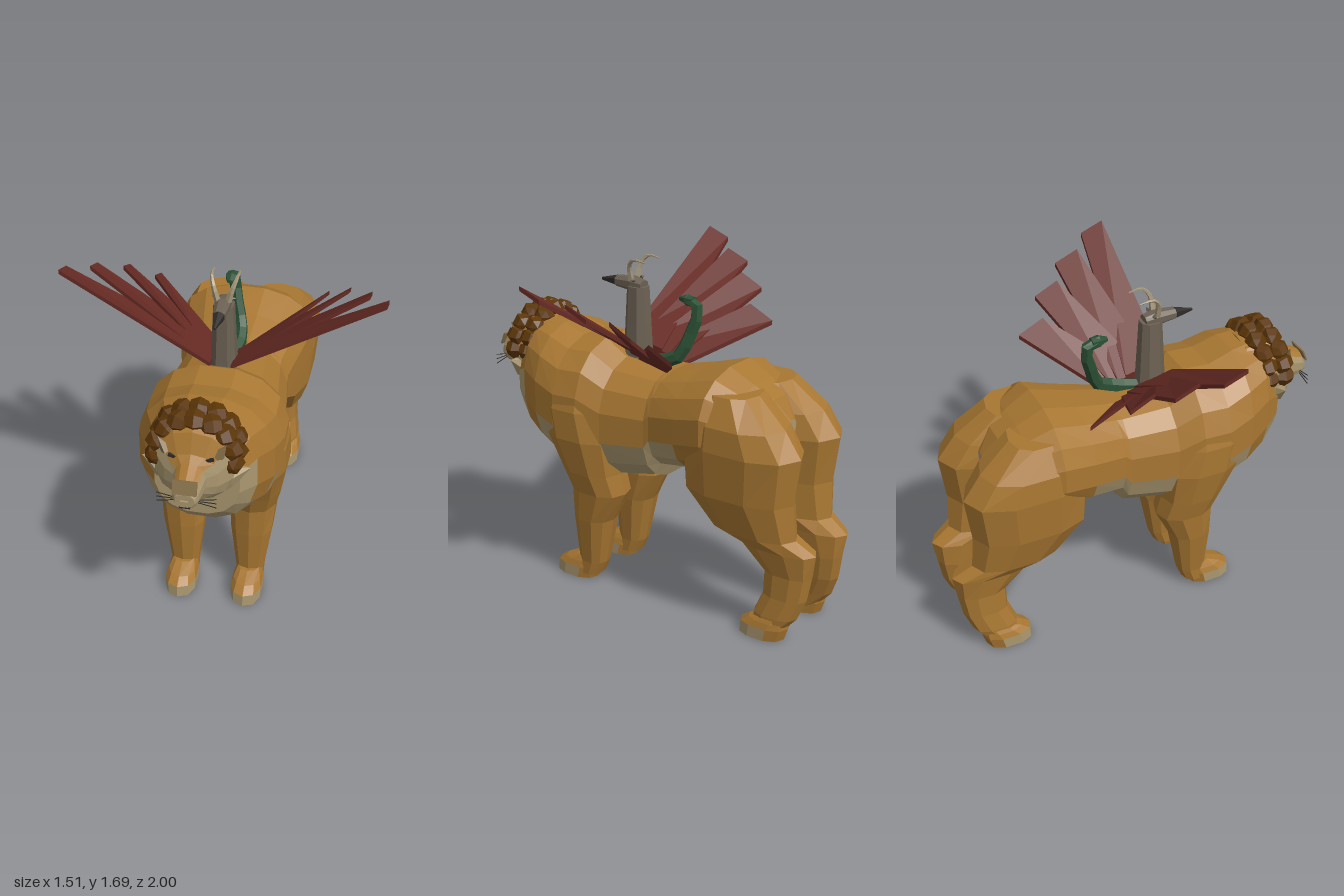
import * as THREE from 'three';

const mat = (name, color) => {
  const m = new THREE.MeshStandardMaterial({ color });
  m.name = name;
  return m;
};
const fur = mat('tan fur', 0xa87732);
const cream = mat('cream fur', 0xab9870);
const curlBrown = mat('dark brown curls', 0x5c3608);
const wingRed = mat('wing red', 0x672b24);
const goatGrey = mat('goat grey', 0x6c6153);
const hornBone = mat('horn bone', 0xa3957a);
const snakeGreen = mat('snake green', 0x2c5136);
const dark = mat('dark grey', 0x2e2a28);
const muzzleTan = mat('muzzle tan', 0x86704a);

const V = (x, y, z) => new THREE.Vector3(x, y, z);

// Faceted mesh from any geometry
function add(parent, name, geo, material, pos = [0, 0, 0]) {
  const g = geo.index ? geo.toNonIndexed() : geo;
  g.computeVertexNormals();
  const mesh = new THREE.Mesh(g, material);
  mesh.name = name;
  mesh.position.set(...pos);
  parent.add(mesh);
  return mesh;
}

// Skin over a row of rings with closed ends; pick(centre) gives each face's material index
function loft(parent, name, rings, materials, pick = () => 0) {
  const buckets = materials.map(() => []);
  const tri = (k, ...pts) => pts.forEach(p => buckets[k].push(p.x, p.y, p.z));
  const mid = pts => pts.reduce((s, p) => s.add(p), V(0, 0, 0)).divideScalar(pts.length);
  const n = rings[0].length;
  for (let i = 0; i + 1 < rings.length; i++) {
    for (let j = 0; j < n; j++) {
      const k = (j + 1) % n;
      const [a, b, c, d] = [rings[i][j], rings[i][k], rings[i + 1][k], rings[i + 1][j]];
      const m = pick(mid([a, b, c, d]));
      tri(m, a, b, c);
      tri(m, a, c, d);
    }
  }
  const first = rings[0], last = rings[rings.length - 1];
  const c0 = mid(first), c1 = mid(last);
  for (let j = 0; j < n; j++) {
    const k = (j + 1) % n;
    tri(pick(c0), c0, first[k], first[j]);
    tri(pick(c1), c1, last[j], last[k]);
  }
  const geo = new THREE.BufferGeometry();
  let start = 0;
  buckets.forEach((b, i) => {
    geo.addGroup(start, b.length / 3, i);
    start += b.length / 3;
  });
  geo.setAttribute('position', new THREE.Float32BufferAttribute(buckets.flat(), 3));
  return add(parent, name, geo, materials);
}

const soft = v => Math.sign(v) * Math.abs(v) ** 0.85;
const ringPoints = (n, f) => Array.from({ length: n }, (_, j) => {
  const a = ((j + 0.5) / n) * Math.PI * 2;
  return f(soft(Math.cos(a)), soft(Math.sin(a)));
});
// Upright ring facing along z: [z, top, bottom, half width]
const zRing = n => ([z, t, b, w]) => ringPoints(n, (c, s) => V(c * w, (t + b) / 2 + s * (t - b) / 2, z));
// Level ring: [y, front z, back z, centre x, half width]
const yRing = (n, side) => ([y, f, b, x, w]) =>
  ringPoints(n, (c, s) => V(side * x + c * w, y, (f + b) / 2 - s * (f - b) / 2));

// Tapering tube along a curve
function taper(parent, name, pts, radius, sides, material, segments = 8) {
  const curve = new THREE.CatmullRomCurve3(pts.map(p => V(...p)));
  const geo = new THREE.TubeGeometry(curve, segments, 1, sides);
  const p = geo.attributes.position;
  for (let i = 0; i < p.count; i++) {
    const t = Math.floor(i / (sides + 1)) / segments;
    const c = curve.getPointAt(t);
    const v = V(0, 0, 0).fromBufferAttribute(p, i).sub(c).multiplyScalar(radius(t)).add(c);
    p.setXYZ(i, v.x, v.y, v.z);
  }
  return add(parent, name, geo, material);
}

// Plank between a root edge and a tip edge
function feather(parent, side, [r1, r2, t1, t2]) {
  const ring = ([x, y, z], [x2, y2, z2]) => [
    V(side * x, y, z), V(side * x2, y2, z2),
    V(side * x2, y2 - 0.022, z2), V(side * x, y - 0.022, z)];
  const rings = [ring(r1, r2), ring(t1, t2)];
  if (side > 0) rings.forEach(r => r.reverse());
  loft(parent, 'feather', rings, [wingRed]);
}

export function createModel() {
  const model = new THREE.Group();
  model.name = 'winged beast';

  // Torso with cream belly, chest and rump patch
  const torso = [
    [-0.76, 1.04, 0.9, 0.05], [-0.69, 1.14, 0.82, 0.2], [-0.6, 1.2, 0.78, 0.3], [-0.47, 1.27, 0.75, 0.35],
    [-0.3, 1.22, 0.72, 0.315], [-0.13, 1.18, 0.69, 0.275], [-0.1, 1.18, 0.62, 0.275], [0.14, 1.2, 0.575, 0.31],
    [0.26, 1.28, 0.6, 0.345], [0.4, 1.27, 0.61, 0.35], [0.53, 1.31, 0.64, 0.325],
    [0.65, 1.32, 0.69, 0.265], [0.74, 1.2, 0.79, 0.2]];
  loft(model, 'torso', torso.map(zRing(16)), [fur, cream], ({ y, z }) => {
    const belly = z > -0.3 && z < 0.15 && y < 0.88;
    const chest = (z > 0.38 && y < 0.84) || (z > 0.64 && y < 1) || z > 0.73;
    const rump = z < -0.7 && y < 1.02;
    return belly || chest || rump ? 1 : 0;
  });

  // Head
  const head = new THREE.Group();
  head.name = 'head';
  model.add(head);
  const skull = [
    [0.6, 1.32, 0.92, 0.2], [0.74, 1.34, 0.9, 0.2], [0.81, 1.31, 0.94, 0.175],
    [0.85, 1.22, 0.97, 0.125], [0.88, 1.19, 1.0, 0.075], [0.96, 1.15, 1.01, 0.062], [0.985, 1.1, 1.03, 0.045]];
  loft(head, 'skull', skull.map(zRing(14)), [fur, cream], ({ x, y, z }) =>
    z > 0.64 && y < (Math.abs(x) > 0.09 && z > 0.75 ? 1.23 : 1.15) ? 1 : 0);
  const nose = add(head, 'nose', new THREE.BoxGeometry(0.11, 0.065, 0.008), muzzleTan, [0, 1.133, 0.975]);
  nose.rotation.x = -0.4;
  add(head, 'mouth', new THREE.BoxGeometry(0.05, 0.008, 0.008), dark, [0, 1.03, 0.983]);
  add(head, 'chin', new THREE.BoxGeometry(0.035, 0.03, 0.02), cream, [0, 1.055, 0.985]);
  for (const s of [-1, 1]) {
    const eye = add(head, 'eye', new THREE.BoxGeometry(0.035, 0.014, 0.012), dark, [s * 0.085, 1.2, 0.848]);
    eye.rotation.z = s * 0.3;
    const cheek = add(head, 'cheek tuft', new THREE.ConeGeometry(0.06, 0.11, 5), cream, [s * 0.2, 1.08, 0.75]);
    cheek.rotation.z = -s * 1.1;
    const ear = add(head, 'ear', new THREE.ConeGeometry(0.03, 0.08, 4), muzzleTan, [s * 0.135, 1.24, 0.82]);
    ear.rotation.z = -s * 0.5;
    for (let i = 0; i < 3; i++) {
      const w = add(head, 'whisker', new THREE.BoxGeometry(0.09, 0.003, 0.003), dark,
        [s * 0.09, 1.03 + i * 0.015, 0.95]);
      w.rotation.z = s * (i - 1) * 0.2;
    }
  }

  // Curly mane arching over the head
  const mane = new THREE.Group();
  mane.name = 'curled mane';
  model.add(mane);
  for (let row = 0; row < 2; row++) {
    for (let i = 0; i < 9; i++) {
      const a = -0.15 + (i / 8) * (Math.PI + 0.3);
      const lift = Math.max(0, Math.sin(a));
      const curl = add(mane, 'curl', new THREE.SphereGeometry(0.056, 6, 4), curlBrown,
        [Math.cos(a) * 0.175, 1.17 + Math.sin(a) * 0.16, 0.775 - row * 0.085 - lift * 0.025]);
      curl.rotation.set(Math.PI / 2, 0, a);
    }
  }

  // Legs and paws
  const foreLeg = [
    [0.03, 0.37, 0.24, 0.168, 0.07], [0.1, 0.36, 0.21, 0.168, 0.072], [0.35, 0.375, 0.16, 0.172, 0.106],
    [0.51, 0.38, 0.08, 0.175, 0.12], [0.62, 0.42, 0.1, 0.19, 0.133], [0.8, 0.5, 0.1, 0.21, 0.145],
    [0.95, 0.52, 0.14, 0.21, 0.146], [1.1, 0.48, 0.18, 0.19, 0.125], [1.22, 0.4, 0.24, 0.16, 0.06]];
  const hindLeg = [
    [0.02, -0.7, -0.83, 0.17, 0.07], [0.12, -0.69, -0.92, 0.165, 0.07], [0.22, -0.73, -0.96, 0.15, 0.07],
    [0.34, -0.73, -0.98, 0.142, 0.075], [0.46, -0.6, -1.0, 0.148, 0.09], [0.52, -0.46, -0.9, 0.165, 0.115],
    [0.7, -0.31, -0.89, 0.18, 0.15], [0.93, -0.3, -0.92, 0.178, 0.175], [1.05, -0.35, -0.83, 0.172, 0.173],
    [1.18, -0.42, -0.67, 0.145, 0.13]];
  for (const s of [-1, 1]) {
    loft(model, 'foreleg', foreLeg.map(yRing(10, s)), [fur]);
    loft(model, 'hind leg', hindLeg.map(yRing(10, s)), [fur]);
    for (const [name, z, x] of [['fore paw', 0.51, 0.168], ['hind paw', -0.62, 0.175]]) {
      const paw = [[0, z, z - 0.24, x, 0.078], [0.06, z - 0.005, z - 0.26, x, 0.08],
        [0.09, z - 0.05, z - 0.26, x, 0.07], [0.12, z - 0.13, z - 0.25, x, 0.055]];
      loft(model, name, paw.map(yRing(10, s)), [fur, cream],
        p => (p.y < 0.01 || (p.y < 0.05 && p.z > z - 0.13) ? 1 : 0));
    }
  }

  // Wings of four fanned feathers: root front, root back, tip front, tip back
  const feathers = [
    [[0.05, 1.265, 0.22], [0.05, 1.225, 0.02], [0.755, 1.685, 0.22], [0.755, 1.64, 0.105]],
    [[0.05, 1.245, 0.17], [0.05, 1.205, -0.02], [0.66, 1.61, 0.04], [0.66, 1.56, -0.08]],
    [[0.05, 1.225, 0.13], [0.05, 1.185, -0.05], [0.545, 1.53, -0.12], [0.545, 1.47, -0.24]],
    [[0.05, 1.205, 0.09], [0.05, 1.165, -0.08], [0.425, 1.415, -0.25], [0.425, 1.35, -0.38]]];
  for (const s of [-1, 1]) {
    const wing = new THREE.Group();
    wing.name = s > 0 ? 'left wing' : 'right wing';
    model.add(wing);
    feathers.forEach(f => feather(wing, s, f));
  }

  // Goat neck and head rising from the back
  const goat = new THREE.Group();
  goat.name = 'goat';
  model.add(goat);
  const neck = [[1.15, 0.2, 0.05, 0, 0.068], [1.35, 0.19, 0.06, 0, 0.058], [1.54, 0.18, 0.07, 0, 0.05]];
  loft(goat, 'goat neck', neck.map(yRing(8, 1)), [goatGrey]);
  const face = [[0.09, 1.57, 1.52, 0.035], [0.15, 1.585, 1.51, 0.04], [0.25, 1.575, 1.52, 0.03]];
  loft(goat, 'goat head', face.map(zRing(8)), [goatGrey]);
  const snout = [[0.25, 1.575, 1.52, 0.03], [0.345, 1.55, 1.535, 0.006]];
  loft(goat, 'goat snout', snout.map(zRing(6)), [dark]);
  for (const s of [-1, 1]) {
    taper(goat, 'goat horn', [[s * 0.025, 1.57, 0.15], [s * 0.045, 1.64, 0.145], [s * 0.06, 1.68, 0.11],
      [s * 0.06, 1.675, 0.04]], t => 0.014 * (1 - t) + 0.003, 5, hornBone);
    const ear = add(goat, 'goat ear', new THREE.ConeGeometry(0.012, 0.03, 4), goatGrey, [s * 0.045, 1.575, 0.13]);
    ear.rotation.z = -s * 1.4;
  }

  // Snake curling up behind the goat
  taper(model, 'snake body', [[0.01, 1.18, 0.06], [0.035, 1.2, -0.05], [0.03, 1.24, -0.14],
    [0, 1.36, -0.19], [-0.015, 1.45, -0.215], [-0.02, 1.505, -0.2], [-0.02, 1.51, -0.15]],
  t => 0.037 - 0.008 * t, 6, snakeGreen, 8);
  const snakeHead = [[-0.19, 1.53, 1.49, 0.026], [-0.15, 1.535, 1.49, 0.032], [-0.11, 1.52, 1.5, 0.014]];
  const snakeFace = loft(model, 'snake head', snakeHead.map(zRing(6)), [snakeGreen]);
  snakeFace.position.x = -0.02;

  return model;
}
